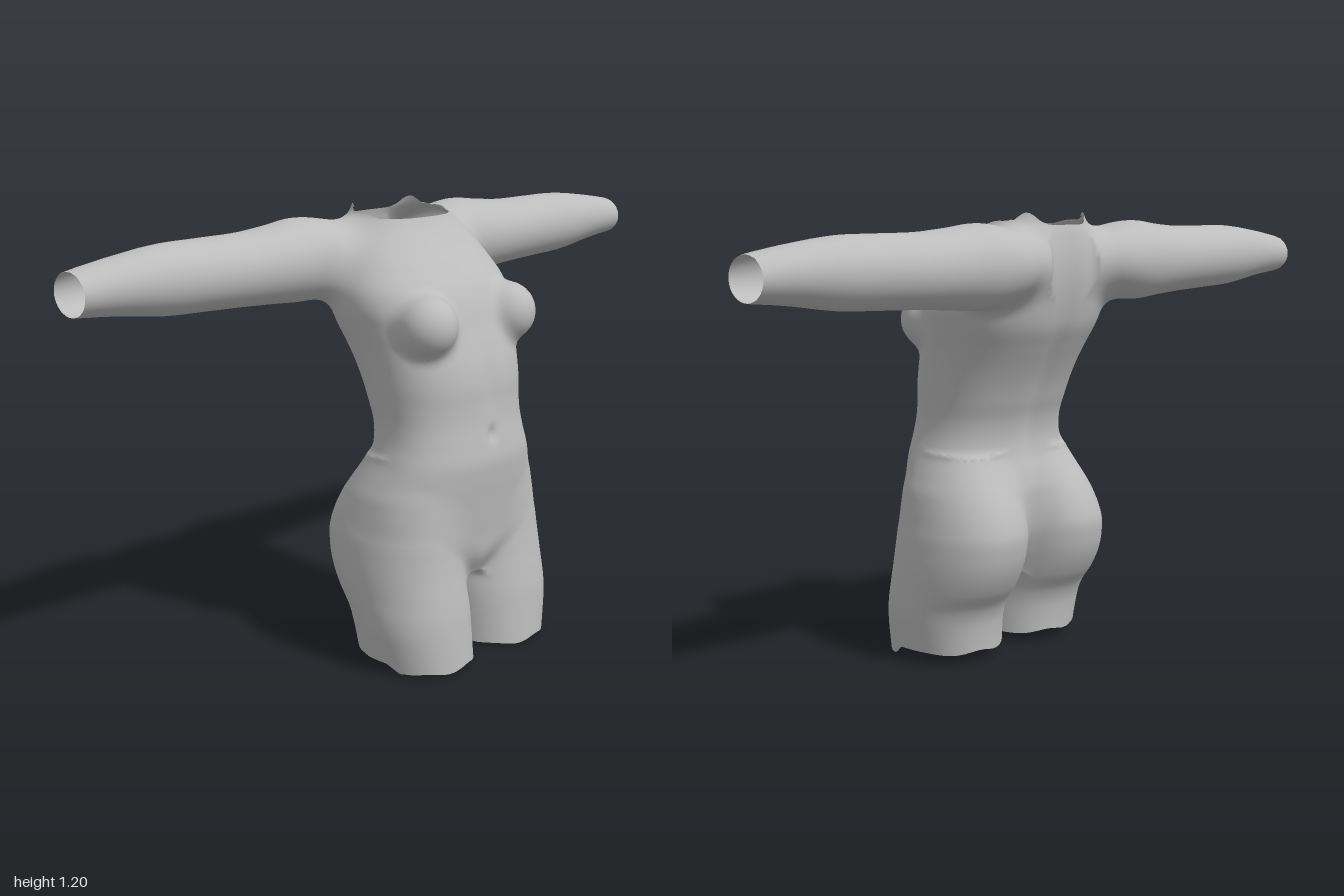
import * as THREE from 'three';

// Cross-sections of the torso: y, half width, front z, back z
const TORSO = [
  [0.22, 0.05, 0.20, 0.0], [0.28, 0.12, 0.232, -0.04], [0.35, 0.24, 0.243, -0.07], [0.45, 0.27, 0.257, -0.085],
  [0.5, 0.258, 0.264, -0.078], [0.55, 0.24, 0.268, -0.063], [0.6, 0.224, 0.262, -0.058], [0.65, 0.217, 0.254, -0.066],
  [0.7, 0.219, 0.25, -0.085], [0.75, 0.224, 0.248, -0.105], [0.8, 0.229, 0.24, -0.13], [0.85, 0.237, 0.225, -0.158],
  [0.9, 0.25, 0.207, -0.185], [0.95, 0.262, 0.19, -0.2], [1.0, 0.26, 0.165, -0.21], [1.05, 0.24, 0.125, -0.215],
  [1.1, 0.21, 0.082, -0.213], [1.15, 0.165, 0.045, -0.204], [1.18, 0.14, 0.03, -0.195], [1.25, 0.12, 0.02, -0.18],
];
// Thigh and buttock: y, centre x, half width, front z, back z
const THIGH = [
  [-0.03, 0.143, 0.138, 0.276, -0.035], [0.1, 0.155, 0.15, 0.268, -0.045], [0.15, 0.157, 0.152, 0.264, -0.062],
  [0.2, 0.158, 0.152, 0.257, -0.1], [0.25, 0.158, 0.152, 0.249, -0.127], [0.3, 0.156, 0.151, 0.243, -0.142],
  [0.36, 0.152, 0.147, 0.237, -0.145], [0.45, 0.14, 0.133, 0.22, -0.11], [0.55, 0.12, 0.1, 0.17, -0.04],
];
// Arm: x, centre y, centre z, half height, half depth
const ARM = [
  [0.1, 1.07, -0.13, 0.07, 0.09], [0.2, 1.07, -0.147, 0.095, 0.115], [0.3, 1.07, -0.157, 0.108, 0.115],
  [0.4, 1.068, -0.153, 0.1, 0.107], [0.5, 1.067, -0.152, 0.093, 0.098], [0.62, 1.069, -0.152, 0.09, 0.095],
  [0.75, 1.071, -0.152, 0.086, 0.089], [0.9, 1.072, -0.152, 0.067, 0.073], [1.03, 1.067, -0.152, 0.05, 0.06],
];

// Smooth lookup of a section table
function sample(table, t) {
  const last = table.length - 1;
  if (t <= table[0][0]) return table[0];
  if (t >= table[last][0]) return table[last];
  let i = 0;
  while (table[i + 1][0] < t) i++;
  const p = table[Math.max(i - 1, 0)], a = table[i], b = table[i + 1], q = table[Math.min(i + 2, last)];
  const h = b[0] - a[0], u = (t - a[0]) / h, u2 = u * u, u3 = u2 * u;
  return a.map((v, k) => {
    const ma = (b[k] - p[k]) / (b[0] - p[0]) * h, mb = (q[k] - v) / (q[0] - a[0]) * h;
    return (2 * u3 - 3 * u2 + 1) * v + (u3 - 2 * u2 + u) * ma + (3 * u2 - 2 * u3) * b[k] + (u3 - u2) * mb;
  });
}
function blend(a, b, k) {
  const h = Math.max(k - Math.abs(a - b), 0) / k;
  return Math.min(a, b) - h * h * k / 4;
}
function oval(u, ru, v, rv, n) {
  return (Math.pow(Math.pow(Math.abs(u / ru), n) + Math.pow(Math.abs(v / rv), n), 1 / n) - 1) * Math.min(ru, rv);
}
const bump = (v, width) => Math.exp(-((v / width) ** 2));

// Signed field of the body: negative inside
function body(sx, y, z) {
  const x = Math.abs(sx);
  const [, w, front, back] = sample(TORSO, y);
  const zc = (front + back) / 2;
  let d = Math.max(oval(x, w, z - zc, (front - back) / 2, 2.3), 0.22 - y);
  if (z < zc) d += 0.016 * bump(x, 0.035) * bump(y - 0.8, 0.3);            // spine groove
  else d += 0.01 * bump(x, 0.016) * bump(y - 0.62, 0.02)                   // navel
    + 0.005 * bump(x, 0.03) * bump(y - 0.75, 0.1);
  // breasts
  const r = Math.hypot((x - 0.155) / 0.078, (y - 0.915) / 0.08, (z - 0.165) / 0.08);
  d = blend(d, (r - 1) * 0.078, 0.03);
  if (y < 0.7) {
    const [, cx, rx, f, b] = sample(THIGH, y);
    d = blend(d, Math.max(oval(x - cx, rx, z - (f + b) / 2, (f - b) / 2, 2.2), y - 0.55), 0.03);
  }
  if (y > 0.8) {
    const [, cy, cz, ry, rz] = sample(ARM, x);
    d = blend(d, Math.max(oval(y - cy, ry, z - cz, rz, 2), 0.1 - x), 0.05);
  }
  return d;
}

// Trims a point to the open ends; returns true where it was trimmed
function trim(p) {
  const [x, y, z] = p, ax = Math.abs(x);
  const hem = 0.025 * (1 - THREE.MathUtils.smoothstep(z, 0.14, 0.19)) + 0.004 * (1 + Math.sin(x * 45));
  const neck = 1.17 + 0.032 * bump(ax - 0.11, 0.03) * bump(z + 0.15, 0.04) + Math.max(ax - 0.13, 0);
  p[0] = THREE.MathUtils.clamp(x, -1, 1);
  p[1] = THREE.MathUtils.clamp(y, hem, neck);
  return p[0] !== x || p[1] !== y;
}

// Skins the field with quads, sorted into named parts
function skin() {
  const s = 0.0125, size = [167, 102, 50], start = [-83 * s, -2 * s, -25 * s];
  const step = [1, size[0], size[0] * size[1]];
  const field = new Float32Array(size[0] * size[1] * size[2]);
  const at = (i, j, k) => i + j * step[1] + k * step[2];
  for (let k = 0; k < size[2]; k++) for (let j = 0; j < size[1]; j++) for (let i = 0; i < size[0]; i++)
    field[at(i, j, k)] = body(start[0] + i * s, start[1] + j * s, start[2] + k * s);

  // one point in each cell the surface passes through
  const points = new Map();
  const cell = (i, j, k) => {
    const id = at(i, j, k);
    if (points.has(id)) return points.get(id);
    const sum = [0, 0, 0];
    let n = 0;
    for (let c = 0; c < 8; c++) for (let a = 0; a < 3; a++) {
      if (c >> a & 1) continue;
      const o = [c & 1, c >> 1 & 1, c >> 2 & 1];
      const e = id + o[0] + o[1] * step[1] + o[2] * step[2];
      const f0 = field[e], f1 = field[e + step[a]];
      if ((f0 < 0) === (f1 < 0)) continue;
      o[a] += f0 / (f0 - f1);
      o.forEach((v, m) => { sum[m] += v; });
      n++;
    }
    const pos = [i, j, k].map((v, m) => start[m] + (v + sum[m] / n) * s);
    const h = 0.004, [x, y, z] = pos;
    const normal = new THREE.Vector3(body(x + h, y, z) - body(x - h, y, z), body(x, y + h, z) - body(x, y - h, z),
      body(x, y, z + h) - body(x, y, z - h)).normalize().toArray();
    const point = { pos, normal, cut: trim(pos) };
    points.set(id, point);
    return point;
  };

  const parts = {};
  for (let k = 1; k < size[2] - 1; k++) for (let j = 1; j < size[1] - 1; j++) for (let i = 1; i < size[0] - 1; i++)
    for (let a = 0; a < 3; a++) {
      const e = at(i, j, k), inside = field[e] < 0;
      if (inside === (field[e + step[a]] < 0)) continue;
      const quad = [[1, 1], [0, 1], [0, 0], [1, 0]].map(([b, c]) => {
        const g = [i, j, k];
        g[(a + 1) % 3] -= b;
        g[(a + 2) % 3] -= c;
        return cell(...g);
      });
      if (quad.every((p) => p.cut)) continue;
      if (!inside) quad.reverse();
      const [x, y] = quad[0].pos, side = x > 0 ? 'left' : 'right';
      const name = Math.abs(x) > 0.3 && y > 0.9 ? side + 'Arm' : y < 0.2 ? side + 'Thigh' : 'torso';
      (parts[name] ??= []).push(...[0, 1, 2, 0, 2, 3].map((q) => quad[q]));
    }
  return parts;
}

export function createModel() {
  const model = new THREE.Group();
  model.name = 'torsoFigure';
  const grey = new THREE.MeshStandardMaterial({ color: 0xbcbcbc, side: THREE.DoubleSide });
  grey.name = 'plain grey';
  for (const [name, corners] of Object.entries(skin())) {
    const geometry = new THREE.BufferGeometry();
    geometry.setAttribute('position', new THREE.Float32BufferAttribute(corners.flatMap((p) => p.pos), 3));
    geometry.setAttribute('normal', new THREE.Float32BufferAttribute(corners.flatMap((p) => p.normal), 3));
    const mesh = new THREE.Mesh(geometry, grey);
    mesh.name = name;
    model.add(mesh);
  }
  return model;
}
